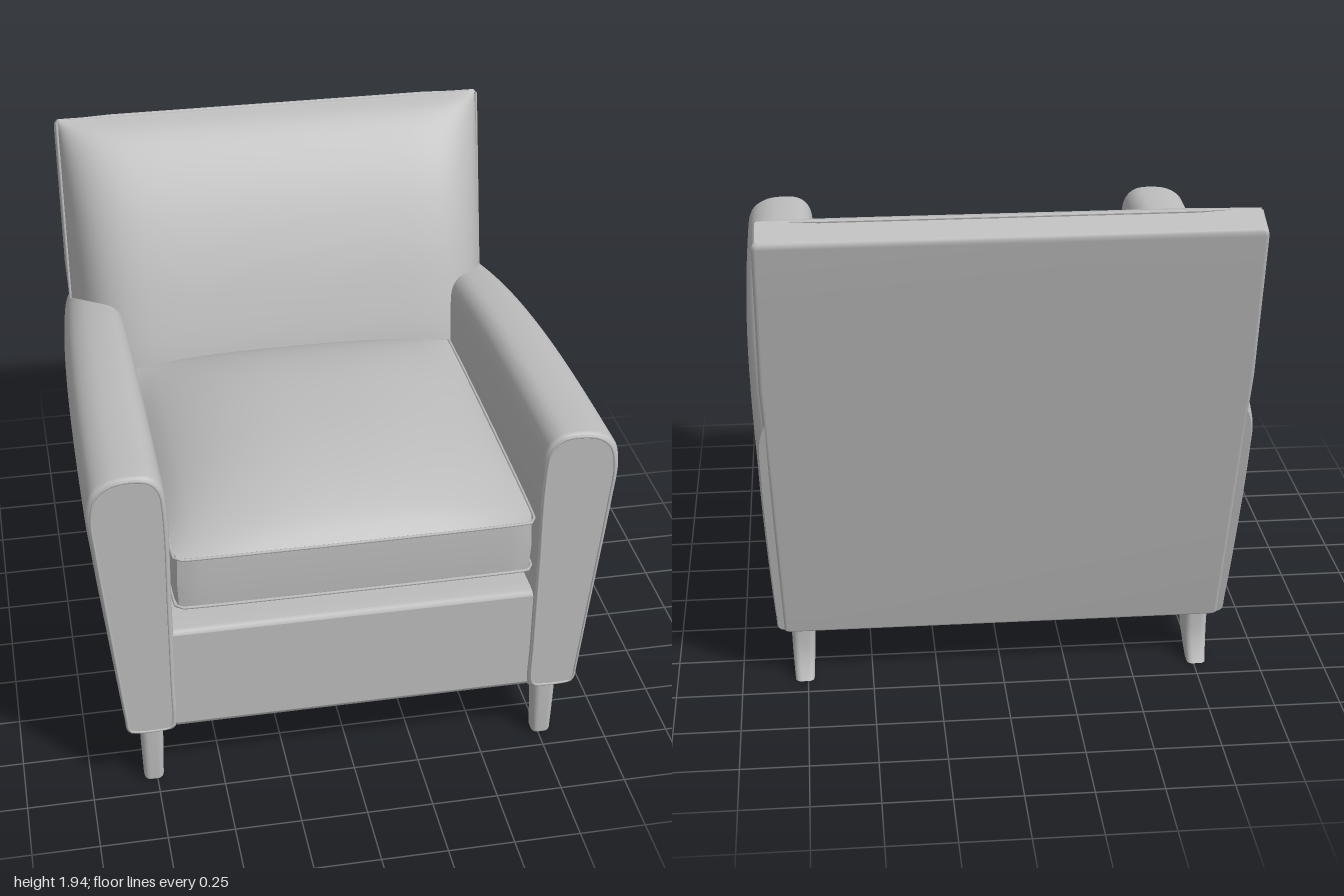
import * as THREE from 'three';

const V = (x, y, z) => new THREE.Vector3(x, y, z);
const lerp = THREE.MathUtils.lerp;

// Skin over closed rings of points, with sharp-edged end caps
function loft(rings) {
  const n = rings[0].length, pos = [], idx = [];
  rings.forEach(r => r.forEach(p => pos.push(p.x, p.y, p.z)));
  for (let i = 0; i < rings.length - 1; i++) {
    for (let j = 0; j < n; j++) {
      const a = i * n + j, b = i * n + (j + 1) % n;
      idx.push(a, b, a + n, b, b + n, a + n);
    }
  }
  [rings[0], rings[rings.length - 1]].forEach((r, end) => {
    const base = pos.length / 3;
    const c = r.reduce((s, p) => s.add(p), V(0, 0, 0)).divideScalar(n);
    [...r, c].forEach(p => pos.push(p.x, p.y, p.z));
    for (let j = 0; j < n; j++) {
      const a = base + j, b = base + (j + 1) % n;
      if (end) idx.push(a, b, base + n); else idx.push(b, a, base + n);
    }
  });
  // Turn the faces outward if the enclosed volume is negative
  const at = i => V(pos[3 * i], pos[3 * i + 1], pos[3 * i + 2]);
  let vol = 0;
  for (let i = 0; i < idx.length; i += 3) vol += at(idx[i]).dot(at(idx[i + 1]).cross(at(idx[i + 2])));
  if (vol < 0) idx.reverse();
  const g = new THREE.BufferGeometry();
  g.setAttribute('position', new THREE.Float32BufferAttribute(pos, 3));
  g.setIndex(idx);
  g.computeVertexNormals();
  return g;
}

// Rounded rectangle as [u, v] pairs
function roundRect(u0, u1, v0, v1, r, steps = 4) {
  const out = [];
  [[u1 - r, v1 - r], [u0 + r, v1 - r], [u0 + r, v0 + r], [u1 - r, v0 + r]].forEach(([u, v], k) => {
    for (let i = 0; i <= steps; i++) {
      const a = (k + i / steps) * Math.PI / 2;
      out.push([u + r * Math.cos(a), v + r * Math.sin(a)]);
    }
  });
  return out;
}

const piping = (pts, r = 0.006) =>
  new THREE.TubeGeometry(new THREE.CatmullRomCurve3(pts, true, 'centripetal'), 160, r, 6, true);

export function createModel() {
  const group = new THREE.Group();
  const grey = new THREE.MeshStandardMaterial({ color: 0xbcbcbc });
  grey.name = 'grey';
  const add = (name, geometry) => {
    const m = new THREE.Mesh(geometry, grey);
    m.name = name;
    group.add(m);
  };

  // Arms: a flared, round-topped section swept to the raked back
  const armCurve = new THREE.CatmullRomCurve3([
    [0.69, 0.28], [0.675, 0.295], [0.672, 0.5], [0.672, 0.9], [0.674, 1.28], [0.69, 1.375],
    [0.73, 1.415], [0.8, 1.425], [0.88, 1.412], [0.935, 1.37], [0.957, 1.28], [0.946, 1.12],
    [0.905, 0.72], [0.865, 0.35], [0.858, 0.295], [0.843, 0.28],
  ].map(([x, y]) => V(x, (y - 0.28) / 1.145, 0)), false, 'centripetal');
  const armProfile = armCurve.getPoints(75);
  const armTop = z => { const d = 0.9 - z; return 1.422 - 0.03 * d - 0.029 * Math.max(d, 0) ** 3; };
  const armBottom = z => 0.28 - 0.04 * (0.985 - z);
  const armRing = (t, inset, s) => armProfile.map(p => {
    const z = lerp(0.985, -0.66 - 0.2 * p.y, t);
    const x = p.x - 0.07 * p.y * t ** 2.5 * (p.x - 0.672) / 0.285;
    const k = 1 - inset / 0.14, ky = 1 - inset / 0.57;
    return V(s * (0.8 + (x - 0.8) * k), lerp(armBottom(z), armTop(z), 0.5 + (p.y - 0.5) * ky), z);
  });
  for (const s of [1, -1]) {
    const side = s > 0 ? 'left' : 'right';
    const rings = [armRing(0, 0.014, s), armRing(0.003, 0.005, s), armRing(0.01, 0, s)];
    for (let i = 1; i <= 20; i++) rings.push(armRing(0.01 + 0.98 * i / 20, 0, s));
    rings.push(armRing(1, 0.01, s));
    add(side + 'Arm', loft(rings));
    add(side + 'ArmPiping', piping(armRing(0, 0.016, s).filter((p, i) => i % 3 === 0), 0.005));
  }

  // Base with the front rail
  add('base', loft([[0.975, 0.02], [0.969, 0.006], [0.955, 0], [0.9, 0], [-0.62, 0]].map(([z, d]) =>
    roundRect(-0.69, 0.69, armBottom(z) + 0.008 + d, 0.735 - d, 0.02).map(([x, y]) => V(x, y, z)))));

  // Raked back frame
  const frameRing = (a, inset) => {
    const w = (a < 0.6 ? lerp(0.835, 0.876, a / 0.6) : 0.88) - inset;
    const back = V(0, lerp(0.21, 1.895, a), lerp(-0.663, -1.0, a) + inset);
    const front = V(0, lerp(0.22, 1.94, a), lerp(-0.47, -0.885, a) - inset);
    return roundRect(-w, w, 0, 0.2, 0.015).map(([x, v]) => back.clone().lerp(front, v / 0.2).setX(x));
  };
  add('backFrame', loft([[0, 0.008], [0.006, 0], [0.3, 0], [0.59, 0], [0.65, 0], [0.85, 0], [0.985, 0],
    [0.995, 0.004], [1, 0.012]].map(([a, d]) => frameRing(a, d))));

  // Back cushion, bulging forward from the frame seam
  const bulge = new THREE.CatmullRomCurve3([
    [0.75, -0.3], [1.05, -0.335], [1.3, -0.415], [1.5, -0.5], [1.7, -0.612], [1.85, -0.73],
    [1.915, -0.81], [1.938, -0.88],
  ].map(([y, z]) => V(0, y, z)), false, 'centripetal');
  const seam = y => -0.722 - 0.24 * (y - 1.25);
  add('backCushion', loft(bulge.getPoints(35).map(p => {
    const ring = [], N = 48, back = seam(p.y) - 0.005;
    for (let i = 0; i <= N; i++) {
      const u = Math.sin((i / N - 0.5) * Math.PI);
      ring.push(V(0.87 * u, p.y, lerp(back, Math.max(p.z, back), Math.max(0, 1 - Math.abs(u) ** 10) ** 0.7)));
    }
    for (let i = 1; i < 8; i++) ring.push(V(0.87 - 1.74 * i / 8, p.y, back - 0.02));
    return ring;
  })));
  for (const s of [1, -1]) {
    const line = new THREE.LineCurve3(V(s * 0.873, 1.2, seam(1.2)), V(s * 0.873, 1.93, seam(1.93)));
    add('backSeam', new THREE.TubeGeometry(line, 1, 0.006, 6));
  }

  // Seat cushion: boxed border with domed top and bottom
  const W = 0.66, D = 0.695, ZC = 0.295;
  const seat = new THREE.BoxGeometry(2 * W, 0.21, 2 * D, 32, 2, 32);
  const P = seat.attributes.position;
  const dome = u => Math.max(0, 1 - u ** 2.5) ** 0.8;
  for (let i = 0; i < P.count; i++) {
    const x = P.getX(i), y = P.getY(i), z = P.getZ(i);
    const u = Math.abs(x) / W, v = Math.abs(z) / D;
    const h = dome(u) * dome(v) * (y > 0.1 ? 0.175 : y < -0.1 ? -0.14 : 0);
    const puff = Math.abs(y) < 0.05 ? 1.006 : 1;
    P.setXYZ(i, x * (1 - 0.02 * v ** 24) * puff, 0.955 + y + h, ZC + z * (1 - 0.02 * u ** 24) * puff);
  }
  seat.computeVertexNormals();
  add('seatCushion', seat);
  for (const y of [1.06, 0.85]) {
    add('seatPiping', piping(roundRect(-W, W, ZC - D, ZC + D, 0.03).map(([x, z]) => V(x, y, z))));
  }

  // Legs: tapered in front, swept backward behind; rows are y, front z, back z, half width
  const frontRows = [[0.3, 0.932, 0.83, 0.044], [0.15, 0.931, 0.845, 0.041], [0.01, 0.928, 0.86, 0.037], [0, 0.924, 0.864, 0.033]];
  const backRows = [[0.26, -0.44, -0.628, 0.046], [0.2, -0.452, -0.628, 0.045], [0.14, -0.468, -0.628, 0.044],
    [0.09, -0.497, -0.635, 0.042], [0.04, -0.545, -0.652, 0.039], [0, -0.592, -0.674, 0.036]];
  const leg = (rows, x, s) => loft(rows.map(([y, zf, zb, w]) =>
    roundRect(x - w, x + w, zb, zf, w * 0.6).map(([a, z]) => V(s * a, y, z))));
  for (const s of [1, -1]) {
    const side = s > 0 ? 'left' : 'right';
    add(side + 'FrontLeg', leg(frontRows, 0.762, s));
    add(side + 'BackLeg', leg(backRows, 0.762, s));
  }
  return group;
}
